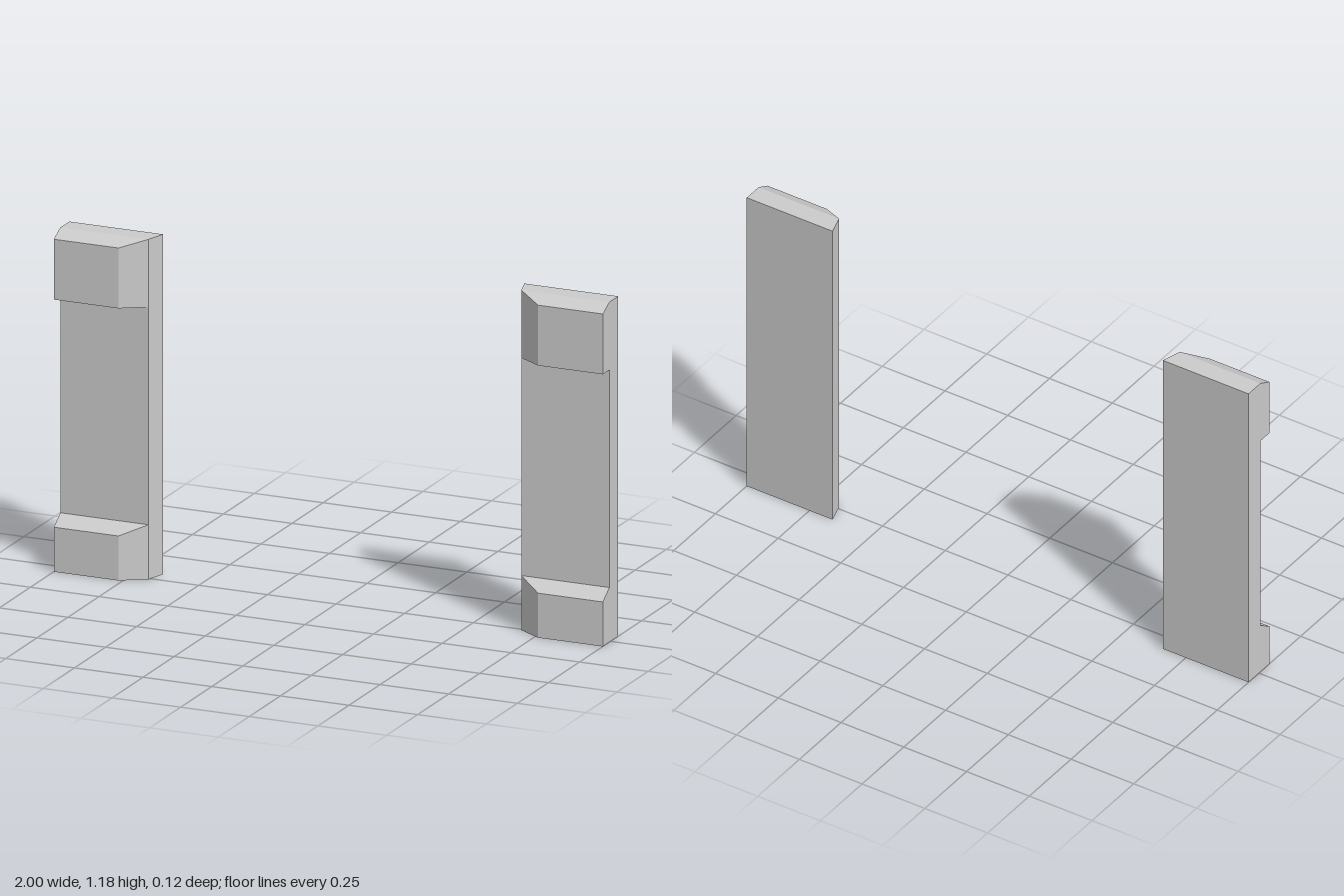
import * as THREE from 'three';

const OUTER = 1, BACK = -0.062, FACE = 0.009, FRONT = 0.062;

// Box whose back and front faces differ: each face is [inner x, bottom y, top y].
function taperedBox(side, backZ, frontZ, back, front) {
  const geometry = new THREE.BoxGeometry(1, 1, 1);
  const p = geometry.attributes.position;
  for (let i = 0; i < p.count; i++) {
    const [inner, bottom, top] = p.getZ(i) < 0 ? back : front;
    p.setXYZ(
      i,
      side * (p.getX(i) * side < 0 ? inner : OUTER),
      p.getY(i) < 0 ? bottom : top,
      p.getZ(i) < 0 ? backZ : frontZ
    );
  }
  geometry.computeVertexNormals();
  return geometry;
}

export function createModel() {
  const model = new THREE.Group();
  model.name = 'doorwayPilasters';
  const material = new THREE.MeshStandardMaterial({ color: 0xcccccc, flatShading: true });

  for (const side of [1, -1]) {
    const pilaster = new THREE.Group();
    pilaster.name = side > 0 ? 'leftPilaster' : 'rightPilaster';
    const add = (name, ...args) => {
      const mesh = new THREE.Mesh(taperedBox(side, ...args), material);
      mesh.name = name;
      pilaster.add(mesh);
    };

    // Full-height slab with a slightly splayed inner edge
    add('shaft', BACK, FACE, [0.658, 0, 1.183], [0.679, 0, 1.183]);
    // Raised foot, bevelled on top and on the inner edge
    add('base', FACE, FRONT, [0.679, 0, 0.19], [0.764, 0, 0.155]);
    // Raised head with a flat underside
    add('capital', FACE, FRONT, [0.679, 0.947, 1.183], [0.764, 0.947, 1.157]);

    model.add(pilaster);
  }
  return model;
}
